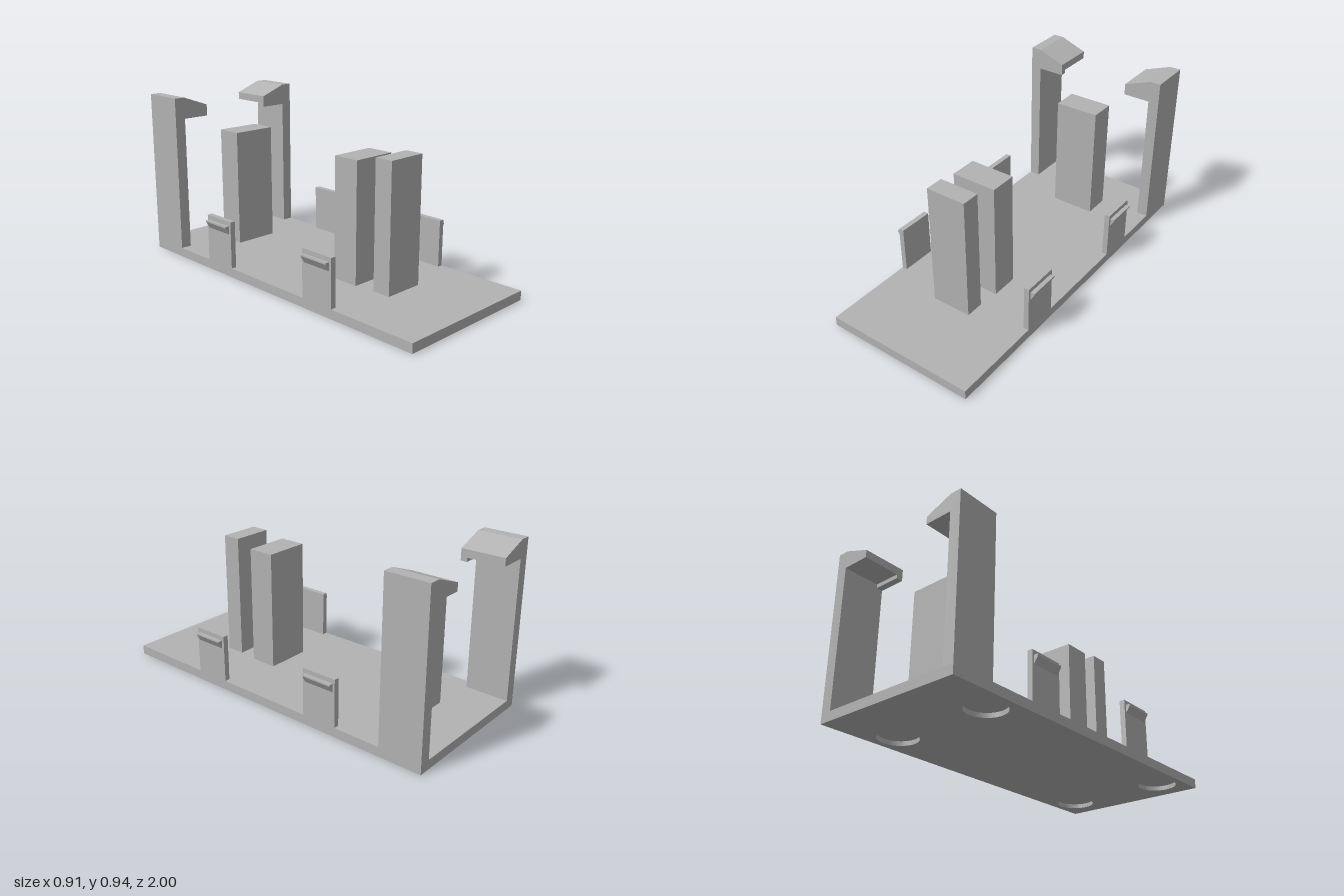
import * as THREE from 'three';

export function createModel() {
  const model = new THREE.Group();
  const grey = new THREE.MeshStandardMaterial({ color: 0xb2b2b2 });
  grey.name = 'plain grey';

  const add = (name, geometry) => {
    const mesh = new THREE.Mesh(geometry, grey);
    mesh.name = name;
    model.add(mesh);
    return mesh;
  };
  // Box given by its limits on each axis
  const box = (name, x0, x1, y0, y1, z0, z1) =>
    add(name, new THREE.BoxGeometry(x1 - x0, y1 - y0, z1 - z0)
      .translate((x0 + x1) / 2, (y0 + y1) / 2, (z0 + z1) / 2));
  // Front profile pulled from z0 to z1, mirrored by side
  const profile = (name, side, points, z0, z1) => {
    const shape = new THREE.Shape(points.map(([x, y]) => new THREE.Vector2(side * x, y)));
    add(name, new THREE.ExtrudeGeometry(shape, { depth: z1 - z0, bevelEnabled: false })
      .translate(0, 0, z0));
  };

  const W = 0.432, BASE = 0.052, POCKET = 0.025;

  // Base plate: lower layer with four round pockets, solid layer above
  const plate = new THREE.Shape([[-W, -1], [W, -1], [W, 1], [-W, 1]]
    .map(([x, y]) => new THREE.Vector2(x, y)));
  for (const x of [-0.29, 0.29]) {
    for (const z of [-0.643, 0.81]) {
      plate.holes.push(new THREE.Path().absarc(x, -z, 0.106, 0, Math.PI * 2, true));
    }
  }
  add('basePocketLayer', new THREE.ExtrudeGeometry(plate,
    { depth: POCKET, bevelEnabled: false, curveSegments: 32 }).rotateX(-Math.PI / 2));
  box('basePlate', -W, W, POCKET, BASE, -1, 1);

  // Upright blocks along the centre line
  box('frontBlock', -0.115, 0.115, BASE, 0.754, 0.477, 0.582);
  box('middleBlock', -0.129, 0.129, BASE, 0.722, 0.21, 0.365);
  box('rearBlock', -0.129, 0.129, BASE, 0.722, -0.743, -0.592);

  for (const side of [-1, 1]) {
    // Tall rear hooks, with a shallow step behind the front lip
    const hook = (under) => [[W, BASE], [W, 0.937], [0.37, 0.937], [0.215, 0.88],
      [0.215, under], [0.37, under], [0.37, BASE]];
    profile('rearHook', side, hook(0.837), -1, -0.793);
    profile('rearHookLip', side, hook(0.815), -0.793, -0.757);

    // Side tabs with a wedge-shaped catch
    for (const z of [-0.387, 0.387]) {
      profile('sideTab', side, [[0.402, BASE], [W, BASE], [W, 0.317], [0.402, 0.317]],
        z - 0.102, z + 0.102);
      profile('tabCatch', side, [[W, 0.245], [0.456, 0.284], [0.456, 0.292], [W, 0.292]],
        z - 0.088, z + 0.088);
    }
  }
  return model;
}
